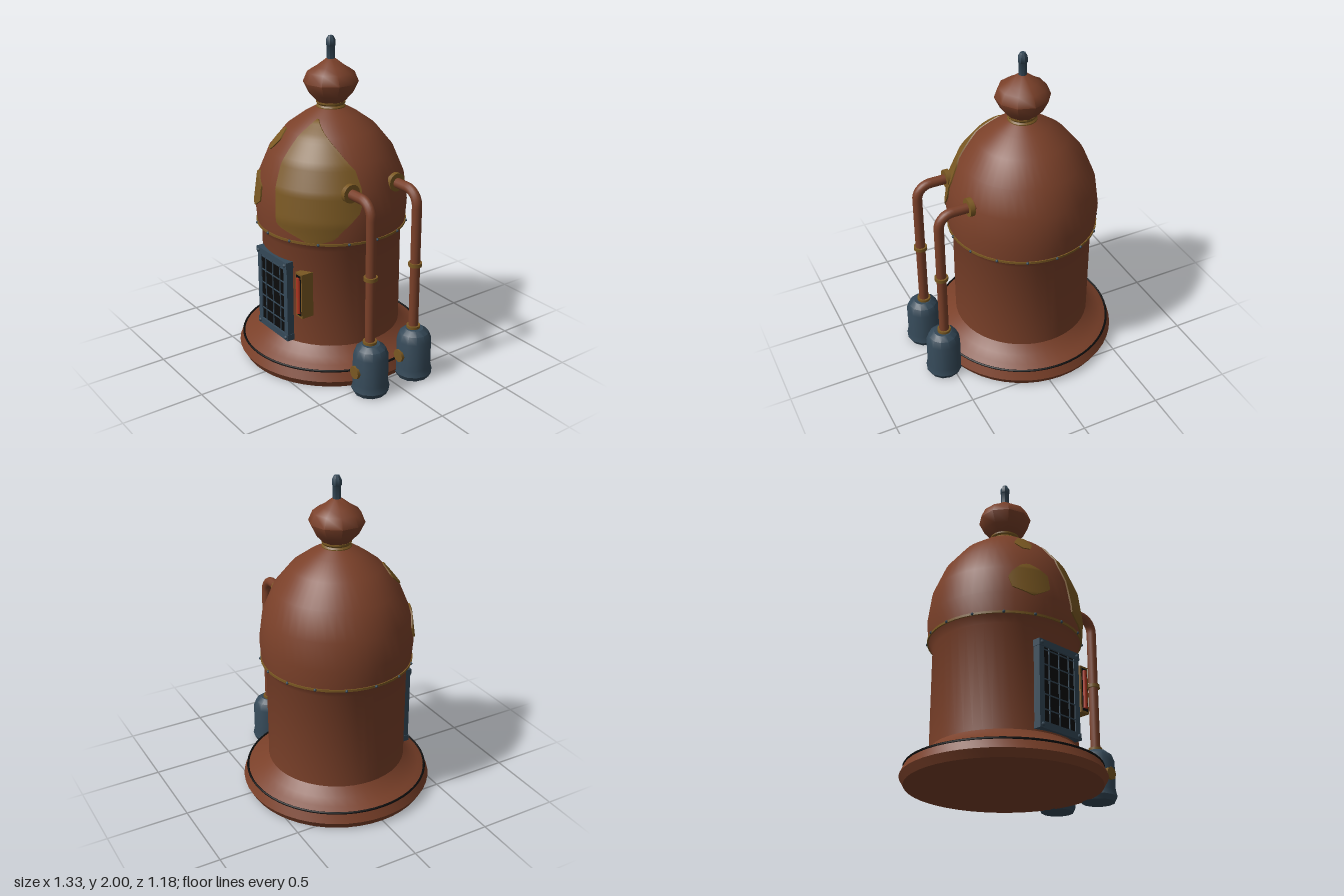
import * as THREE from 'three';
import { toCreasedNormals } from 'three/addons/utils/BufferGeometryUtils.js';

const mat = (name, color, side = THREE.FrontSide) => {
  const m = new THREE.MeshStandardMaterial({ color, side });
  m.name = name;
  return m;
};

// dome profile as [radius, height]
const DOME = [[0.455, 0.87], [0.465, 1.0], [0.442, 1.17], [0.375, 1.33], [0.27, 1.46], [0.16, 1.54], [0.088, 1.58]];

// linear lookup in rows sorted by their key column
function lookup(rows, key, col, v) {
  for (let i = 1; i < rows.length; i++) {
    const a = rows[i - 1], b = rows[i];
    if (v <= b[key]) return a[col] + (b[col] - a[col]) * Math.max(0, (v - a[key]) / (b[key] - a[key]));
  }
  return rows[rows.length - 1][col];
}

function lathe(points, segments, crease = 0.65) {
  const g = new THREE.LatheGeometry(points.map(p => new THREE.Vector2(p[0], p[1])), segments);
  return toCreasedNormals(g, crease);
}

// thin plate hugging the dome; rows are [height, left angle, right angle]
function domePatch(rows) {
  const NR = 30, NC = 14, pos = [], idx = [], W = NC + 3;
  const y0 = rows[0][0], y1 = rows[rows.length - 1][0];
  for (let i = -1; i <= NR + 1; i++) {
    for (let j = -1; j <= NC + 1; j++) {
      const u = THREE.MathUtils.clamp(i, 0, NR) / NR, v = THREE.MathUtils.clamp(j, 0, NC) / NC;
      const skirt = i < 0 || j < 0 || i > NR || j > NC;
      const y = y0 + (y1 - y0) * u;
      const l = lookup(rows, 0, 1, y), r = lookup(rows, 0, 2, y);
      const phi = THREE.MathUtils.degToRad(l + (r - l) * v);
      const rad = lookup(DOME, 1, 0, y) + (skirt ? -0.006 : 0.009);
      pos.push(rad * Math.sin(phi), y, rad * Math.cos(phi));
      if (i <= NR && j <= NC) {
        const a = (i + 1) * W + j + 1;
        idx.push(a, a + 1, a + W, a + 1, a + W + 1, a + W);
      }
    }
  }
  const g = new THREE.BufferGeometry();
  g.setAttribute('position', new THREE.Float32BufferAttribute(pos, 3));
  g.setIndex(idx);
  return toCreasedNormals(g, 0.7);
}

export function createModel() {
  const rust = mat('rust', 0x7a4029);
  const brass = mat('brass', 0x7a5822);
  const brassPlate = mat('brass plate', 0x7a5822);
  brassPlate.side = THREE.DoubleSide;
  const steel = mat('blue steel', 0x344857);
  const black = mat('black', 0x0c0c0c);
  const red = mat('red', 0xb03520);

  const model = new THREE.Group();
  const tower = new THREE.Group();
  tower.name = 'tower';
  tower.position.x = -0.08;
  model.add(tower);

  const add = (parent, name, geo, material, x = 0, y = 0, z = 0) => {
    const m = new THREE.Mesh(geo, material);
    m.name = name;
    m.position.set(x, y, z);
    parent.add(m);
    return m;
  };
  const box = (parent, name, material, x, y, z, w, h, d) =>
    add(parent, name, new THREE.BoxGeometry(w, h, d), material, x, y, z);

  // body, from flared base to dome
  add(tower, 'base', lathe([[0, 0], [0.565, 0], [0.59, 0.045], [0.565, 0.1], [0.54, 0.108]], 48), rust);
  add(tower, 'wall', lathe([[0.56, 0.103], [0.525, 0.122], [0.475, 0.15], [0.428, 0.2], [0.428, 0.82], [0.455, 0.87]], 48), rust);
  add(tower, 'dome', lathe(DOME, 48), rust);
  const groove = add(tower, 'baseGroove', new THREE.TorusGeometry(0.564, 0.007, 6, 64), black, 0, 0.104);
  groove.rotation.x = Math.PI / 2;

  // riveted seam
  add(tower, 'seamBand', lathe([[0.45, 0.868], [0.462, 0.868], [0.462, 0.882], [0.45, 0.882]], 48), brass);
  for (let i = 0; i < 16; i++) {
    const a = i * Math.PI / 8;
    add(tower, 'rivet', new THREE.SphereGeometry(0.009, 8, 6), steel, 0.462 * Math.sin(a), 0.875, 0.462 * Math.cos(a));
  }

  // brass repair plates on the dome
  add(tower, 'largePatch', domePatch([
    [0.885, 36, 47], [0.91, 30, 57], [0.96, 12, 62], [1.06, 10.5, 75], [1.1, 10, 77], [1.2, 8, 78],
    [1.3, 7, 75], [1.4, 9, 62], [1.46, 12, 51], [1.51, 18, 38], [1.54, 25, 29]]), brassPlate);
  add(tower, 'lowerPatch', domePatch([
    [0.99, -25, -23], [1.03, -39, -14], [1.05, -40, -10.6], [1.1, -42, -11], [1.14, -39, -11.5],
    [1.19, -32, -22], [1.2, -28, -25]]), brassPlate);
  add(tower, 'upperPatch', domePatch([
    [1.34, -28, -21], [1.39, -34, -16], [1.41, -34, -15], [1.46, -29, -20]]), brassPlate);

  // finial
  add(tower, 'neckRing', lathe([[0, 1.57], [0.088, 1.57], [0.088, 1.585], [0.08, 1.595], [0.088, 1.605], [0.088, 1.615], [0, 1.615]], 24), brass);
  add(tower, 'finial', lathe([[0, 1.612], [0.085, 1.612], [0.13, 1.66], [0.165, 1.73], [0.14, 1.79], [0.09, 1.82], [0.03, 1.865], [0, 1.87]], 10, 0.9), rust);
  add(tower, 'spike', lathe([[0, 1.85], [0.025, 1.85], [0.025, 1.94], [0.029, 1.945], [0.029, 1.975], [0.015, 2.0], [0, 2.0]], 8), steel);

  // barred window
  const win = new THREE.Group();
  win.name = 'window';
  win.position.set(0, 0.47, 0);
  tower.add(win);
  box(win, 'windowPanel', black, 0, 0, 0.412, 0.27, 0.46, 0.042);
  for (const s of [-1, 1]) {
    box(win, 'frameSide', steel, s * 0.143, 0, 0.418, 0.038, 0.48, 0.044);
    box(win, 'frameRail', steel, 0, s * 0.24, 0.42, 0.33, 0.04, 0.05);
    for (const t of [-1, 1]) add(win, 'frameBolt', new THREE.SphereGeometry(0.012, 8, 6), steel, s * 0.145, t * 0.24, 0.445);
  }
  for (let i = 0; i < 3; i++) box(win, 'verticalBar', steel, (i - 1) * 0.08, 0, 0.435, 0.007, 0.45, 0.007);
  for (let i = 0; i < 5; i++) box(win, 'crossBar', steel, 0, (i - 2) * 0.088 + 0.03, 0.434, 0.25, 0.007, 0.007);

  // red lamp in a brass housing
  const lamp = new THREE.Group();
  lamp.name = 'lamp';
  lamp.position.set(0.163, 0.543, 0);
  model.add(lamp);
  box(lamp, 'lampHousing', brass, 0, 0, 0.37, 0.065, 0.285, 0.08);
  box(lamp, 'lampRecess', black, 0, 0, 0.4095, 0.045, 0.26, 0.005);
  const tube = add(lamp, 'lampTube', new THREE.CylinderGeometry(0.015, 0.015, 0.23, 12), red, 0, 0, 0.411);
  tube.castShadow = false;

  // two pipes running from the dome into tanks
  const path = new THREE.CurvePath();
  const v = (x, y) => new THREE.Vector3(x, y, 0);
  path.add(new THREE.LineCurve3(v(0.31, 1.185), v(0.445, 1.185)));
  path.add(new THREE.CubicBezierCurve3(v(0.445, 1.185), v(0.495, 1.185), v(0.535, 1.145), v(0.535, 1.095)));
  path.add(new THREE.LineCurve3(v(0.535, 1.095), v(0.535, 0.3)));
  const tankProfile = [[0, 0], [0.1, 0], [0.115, 0.03], [0.106, 0.07], [0.106, 0.245], [0.088, 0.29], [0.055, 0.315], [0, 0.315]];
  for (const s of [1, -1]) {
    const unit = new THREE.Group();
    unit.name = s > 0 ? 'frontPipe' : 'backPipe';
    unit.position.z = s * 0.165;
    model.add(unit);
    add(unit, 'pipe', new THREE.TubeGeometry(path, 64, 0.03, 12), rust);
    const flange = add(unit, 'flange', new THREE.CylinderGeometry(0.056, 0.056, 0.03, 16), brass, 0.34, 1.187);
    flange.rotation.z = Math.PI / 2;
    add(unit, 'pipeCollar', new THREE.CylinderGeometry(0.041, 0.041, 0.022, 16), brass, 0.535, 0.731);
    add(unit, 'tankCollar', new THREE.CylinderGeometry(0.042, 0.042, 0.022, 16), brass, 0.535, 0.32);
    add(unit, 'tank', lathe(tankProfile, 12), steel, 0.545, 0, 0);
    const cap = add(unit, 'tankCap', new THREE.CylinderGeometry(0.04, 0.04, 0.03, 8), brass, 0.537, 0.155, 0.102);
    cap.rotation.x = Math.PI / 2;
  }
  return model;
}
